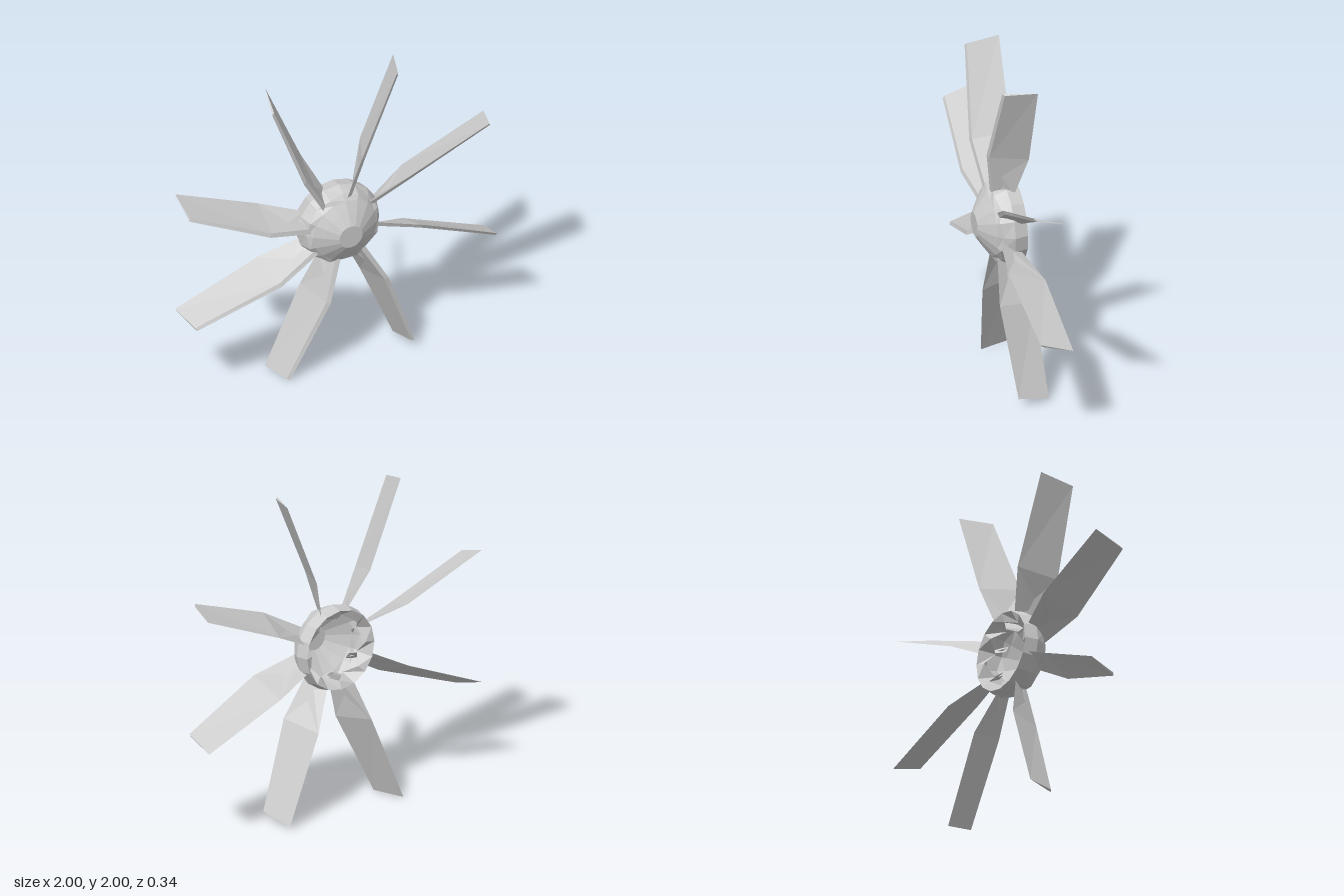
import * as THREE from 'three';

const material = new THREE.MeshStandardMaterial({ color: 0xcccccc, flatShading: true, side: THREE.DoubleSide });

// Skin a list of closed rings (equal point counts), optionally capping the last one
function loft(rings, cap) {
  const n = rings[0].length, index = [];
  for (let i = 0; i < rings.length - 1; i++) {
    for (let j = 0; j < n; j++) {
      const k = (j + 1) % n, a = i * n, b = a + n;
      index.push(a + j, a + k, b + j, a + k, b + k, b + j);
    }
  }
  const last = (rings.length - 1) * n;
  if (cap) for (let j = 1; j < n - 1; j++) index.push(last, last + j, last + j + 1);
  const g = new THREE.BufferGeometry();
  g.setAttribute('position', new THREE.Float32BufferAttribute(rings.flat(2), 3));
  g.setIndex(index);
  const flat = g.toNonIndexed();
  flat.computeVertexNormals();
  return flat;
}

// Blade pointing up +y: thin wedge sections between a front edge and a back edge
function bladeGeometry() {
  const section = (front, back, thick) => [
    [front[0], front[1], front[2]],
    [back[0], back[1], back[2]],
    [front[0] + thick, front[1], front[2] - 0.01],
  ];
  return loft([
    section([-0.062, 0.19, 0.07], [0.018, 0.23, -0.05], 0.03),
    section([-0.1, 0.49, 0.105], [-0.005, 0.505, -0.125], 0.025),
    section([-0.077, 1.048, 0.062], [-0.013, 1.077, -0.135], 0.018),
  ], true);
}

// Hollow faceted hub: nose disc, cone, outer band and a zigzag rim at the back
function hubGeometry() {
  const sides = 16;
  const ring = (r, z, zig = 0) => Array.from({ length: sides }, (_, i) => {
    const a = (i / sides) * Math.PI * 2;
    return [r * Math.cos(a), r * Math.sin(a), z + (i % 2 ? zig : 0)];
  });
  return loft([
    ring(0.195, -0.07, 0.07),
    ring(0.245, -0.09),
    ring(0.262, -0.01),
    ring(0.235, 0.05, 0.02),
    ring(0.205, 0.085),
    ring(0.145, 0.125),
    ring(0.075, 0.168),
  ], true);
}

export function createModel() {
  const model = new THREE.Group();
  const propeller = new THREE.Group();
  propeller.name = 'propeller';
  propeller.position.y = 1;
  propeller.rotation.set(0.03, 0.015, 0); // slight lean of the whole disc
  model.add(propeller);

  const hub = new THREE.Mesh(hubGeometry(), material);
  hub.name = 'hub';
  propeller.add(hub);

  // Eight identical blades
  const geometry = bladeGeometry();
  for (let i = 0; i < 8; i++) {
    const blade = new THREE.Mesh(geometry, material);
    blade.name = 'blade' + (i + 1);
    blade.rotation.z = Math.PI / 8 + (i * Math.PI) / 4;
    propeller.add(blade);
  }
  return model;
}
